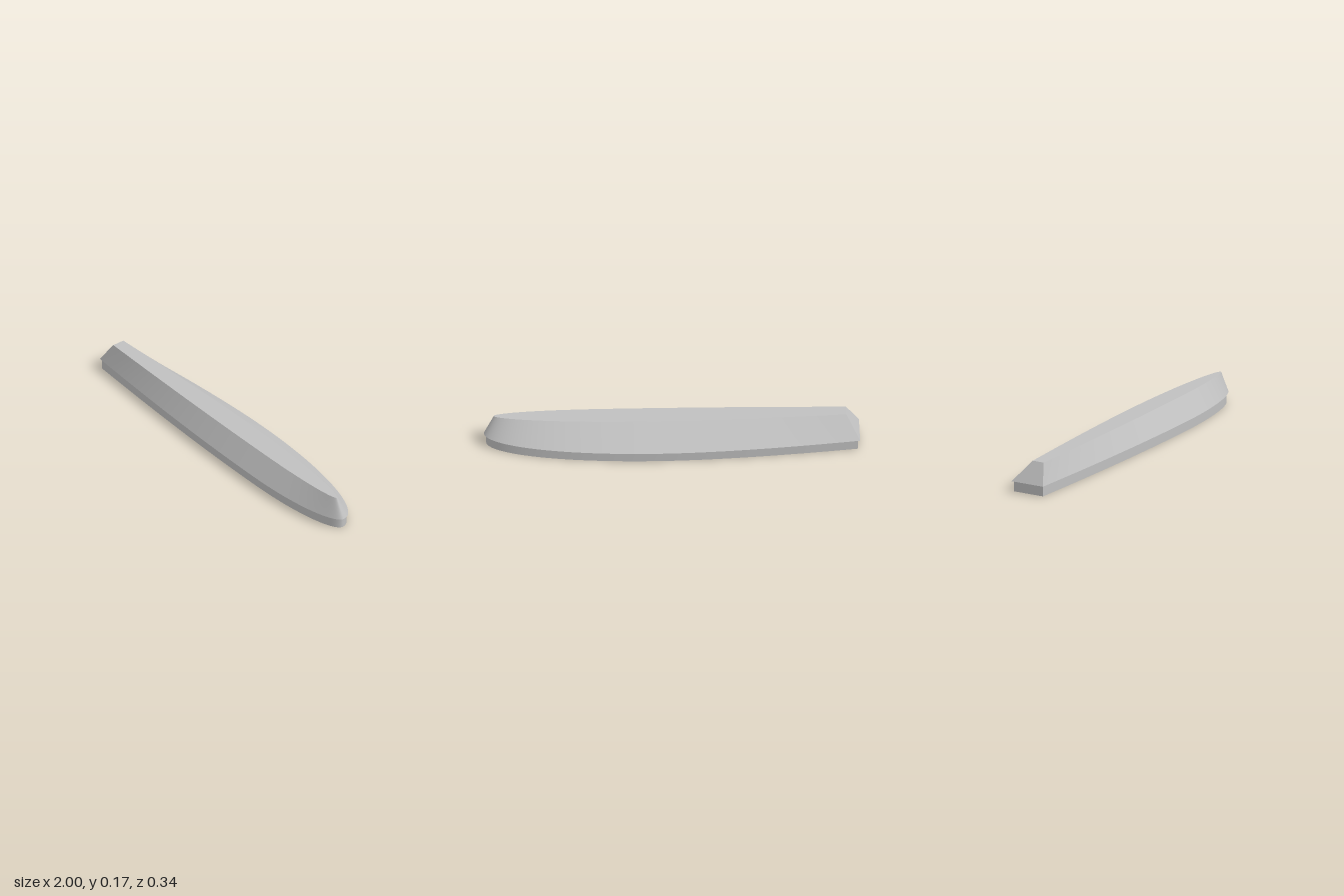
import * as THREE from 'three';

const V = (x, z) => new THREE.Vector2(x, z);

// Outline in x/z: stern -> back side -> nose -> front side -> stern
function outline({ sternBack, backPeak, nose, frontPeak, sternFront, backCtrl, frontCtrl }) {
  const curves = [
    new THREE.QuadraticBezierCurve(sternBack, V(-0.35, backPeak.y), backPeak),
    new THREE.CubicBezierCurve(backPeak, V(backCtrl[0], backPeak.y), V(nose.x, backCtrl[1]), nose),
    new THREE.CubicBezierCurve(nose, V(nose.x, frontCtrl[1]), V(frontCtrl[0], frontPeak.y), frontPeak),
    new THREE.QuadraticBezierCurve(frontPeak, V(-0.2, frontPeak.y), sternFront),
  ];
  return curves.flatMap((c, i) => c.getPoints(24).slice(i ? 1 : 0));
}

// Surface between two open outlines of equal length
function strip(lower, y0, upper, y1) {
  const pos = [], index = [];
  lower.forEach((p, i) => {
    pos.push(p.x, y0, p.y, upper[i].x, y1, upper[i].y);
    if (i < lower.length - 1) {
      const a = i * 2;
      index.push(a, a + 1, a + 2, a + 1, a + 3, a + 2);
    }
  });
  const g = new THREE.BufferGeometry();
  g.setAttribute('position', new THREE.Float32BufferAttribute(pos, 3));
  g.setIndex(index);
  g.computeVertexNormals();
  return g;
}

// Flat lid facing up (dir = 1) or down (dir = -1)
function cap(points, y, dir) {
  const g = new THREE.ShapeGeometry(new THREE.Shape(points.map(p => V(p.x, -dir * p.y))));
  g.rotateX(-dir * Math.PI / 2);
  g.translate(0, y, 0);
  return g;
}

// Closed solid with smooth sides and a sharp flat stern
function solid(name, lower, y0, upper, y1, material) {
  const group = new THREE.Group();
  group.name = name;
  const stern = pts => [pts[pts.length - 1], pts[0]];
  const parts = {
    Sides: strip(lower, y0, upper, y1),
    Stern: strip(stern(lower), y0, stern(upper), y1),
    Top: cap(upper, y1, 1),
    Underside: cap(lower, y0, -1),
  };
  for (const [part, geometry] of Object.entries(parts)) {
    const mesh = new THREE.Mesh(geometry, material);
    mesh.name = name + part;
    group.add(mesh);
  }
  return group;
}

export function createModel() {
  const model = new THREE.Group();
  model.name = 'taperedHull';
  const grey = new THREE.MeshStandardMaterial({ color: 0xc0c0c0 });
  grey.name = 'light grey';

  const rim = outline({
    sternBack: V(-1, -0.09), backPeak: V(0.05, -0.17), nose: V(1, 0.045),
    frontPeak: V(0.4, 0.168), sternFront: V(-1, 0.104),
    backCtrl: [0.6, -0.07], frontCtrl: [0.75, 0.11],
  });
  const deck = outline({
    sternBack: V(-0.93, 0), backPeak: V(0.05, -0.028), nose: V(0.947, 0.05),
    frontPeak: V(0.4, 0.092), sternFront: V(-0.93, 0.068),
    backCtrl: [0.6, 0.02], frontCtrl: [0.75, 0.07],
  });
  // Plinth is the rim drawn in slightly
  const plinth = rim.map(p => V(p.x * 0.988, p.y * 0.93 + 0.001));

  model.add(solid('plinth', plinth, 0, plinth, 0.058, grey));
  model.add(solid('slopedBody', rim, 0.058, deck, 0.168, grey));
  return model;
}
